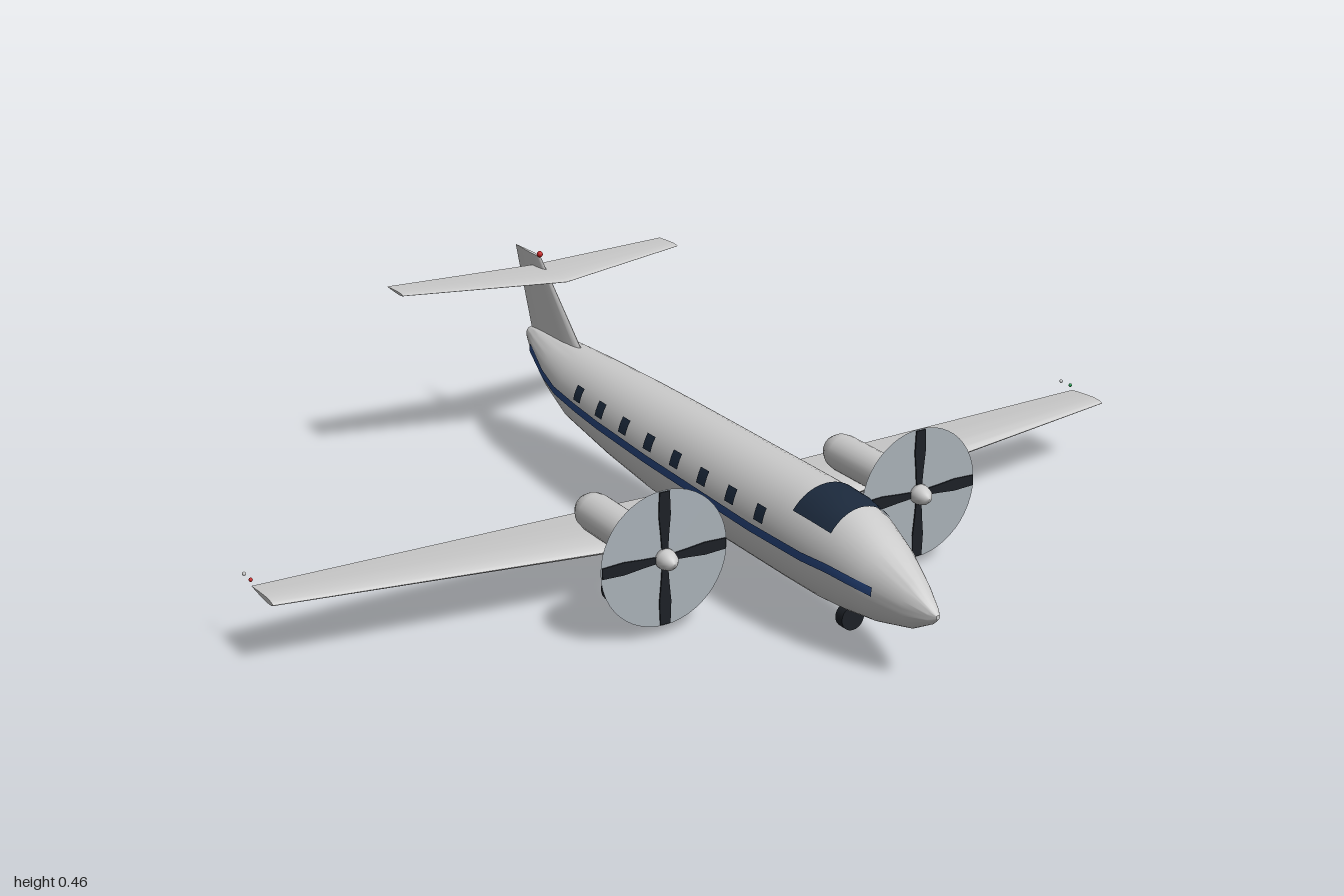
import * as THREE from 'three';
import { toCreasedNormals } from 'three/addons/utils/BufferGeometryUtils.js';

const mat = (color, side = THREE.FrontSide) => new THREE.MeshStandardMaterial({ color, side });
const GREY = mat(0xcccccc), DARK = mat(0x1c2026), DISC = mat(0xa9b1b8, THREE.DoubleSide);
const GLASS = mat(0x1c2a3d, THREE.DoubleSide), BLUE = mat(0x2a4a85, THREE.DoubleSide);
const RED = mat(0xc02020), GREEN = mat(0x20a050);

function add(parent, name, geometry, material, x = 0, y = 0, z = 0) {
  const mesh = new THREE.Mesh(geometry, material);
  mesh.name = name;
  mesh.position.set(x, y, z);
  parent.add(mesh);
  return mesh;
}

// Grid of points to surface; closed rings are joined around and capped at both ends
function surface(rows, closed) {
  const n = rows[0].length, idx = [];
  for (let i = 0; i < rows.length - 1; i++)
    for (let j = 0; j < (closed ? n : n - 1); j++) {
      const k = (j + 1) % n, a = i * n + j, b = i * n + k, c = b + n, d = a + n;
      idx.push(a, b, c, a, c, d);
    }
  if (closed) {
    const e = (rows.length - 1) * n;
    for (let j = 1; j < n - 1; j++) idx.push(0, j + 1, j, e, e + j, e + j + 1);
  }
  const g = new THREE.BufferGeometry();
  g.setAttribute('position', new THREE.Float32BufferAttribute(rows.flat(2), 3));
  g.setIndex(idx);
  g.computeVertexNormals();
  return closed ? toCreasedNormals(g, 0.6) : g;
}

// Fuselage stations, tail to nose: z, half width, top, bottom
const STATIONS = [
  [-0.735, 0.012, 0.265, 0.235], [-0.7, 0.025, 0.27, 0.212], [-0.66, 0.04, 0.273, 0.194],
  [-0.56, 0.066, 0.278, 0.153], [-0.465, 0.08, 0.281, 0.117], [-0.27, 0.094, 0.284, 0.092],
  [-0.1, 0.1, 0.285, 0.075], [0.05, 0.1, 0.286, 0.068], [0.4, 0.1, 0.286, 0.067],
  [0.5, 0.096, 0.283, 0.067], [0.57, 0.085, 0.273, 0.07], [0.65, 0.067, 0.24, 0.08],
  [0.735, 0.036, 0.198, 0.1], [0.785, 0.014, 0.165, 0.128], [0.8, 0.004, 0.152, 0.143],
];

// Oval cross-section at any z, grown by an offset
function section(z, o = 0) {
  let i = 0;
  while (i < STATIONS.length - 2 && z > STATIONS[i + 1][0]) i++;
  const a = STATIONS[i], b = STATIONS[i + 1], t = (z - a[0]) / (b[0] - a[0]);
  const [w, top, bot] = [1, 2, 3].map((k) => a[k] + (b[k] - a[k]) * t);
  return { w: w + o, h: (top - bot) / 2 + o, c: (top + bot) / 2 };
}

function arc(z, from, to, steps, o, closed) {
  const { w, h, c } = section(z, o);
  return Array.from({ length: closed ? steps : steps + 1 }, (_, j) => {
    const a = from + ((to - from) * j) / steps;
    return [w * Math.cos(a), c + h * Math.sin(a), z];
  });
}

// Patch hugging the fuselage side; samples are z, low y, high y
function sidePatch(side, samples) {
  return surface(samples.map(([z, lo, hi]) => {
    const { w, h, c } = section(z, 0.003);
    return [0, 1, 2, 3].map((j) => {
      const y = side > 0 ? lo + ((hi - lo) * j) / 3 : hi - ((hi - lo) * j) / 3;
      return [side * w * Math.sqrt(Math.max(0, 1 - ((y - c) / h) ** 2)), y, z];
    });
  }), false);
}

// Airfoil ring: fraction of chord from trailing edge, half thickness share
const FOIL = [[0, 0], [0.35, 0.6], [0.7, 1], [0.9, 0.75], [0.98, 0.35], [1, 0],
  [0.98, -0.35], [0.9, -0.75], [0.7, -1], [0.35, -0.6]];
const wingRing = (x, y, lead, trail, t) =>
  FOIL.map(([s, u]) => [x, y + (u * t) / 2, trail + (lead - trail) * s]);
const finRing = (y, lead, trail, t) =>
  FOIL.map(([s, u]) => [(-u * t) / 2, y, trail + (lead - trail) * s]);

// Turned part along z; points are radius, z
const turned = (pts) =>
  new THREE.LatheGeometry(pts.map(([r, z]) => new THREE.Vector2(r, z)), 24).rotateX(Math.PI / 2);

function propeller() {
  const g = new THREE.Group();
  g.name = 'propeller';
  add(g, 'propellerDisc', new THREE.CircleGeometry(0.14, 48), DISC);
  const outline = [[-0.006, 0.01], [0.006, 0.01], [0.009, 0.05], [0.013, 0.09], [0.011, 0.137],
    [-0.011, 0.137], [-0.013, 0.09], [-0.009, 0.05]].map(([x, y]) => new THREE.Vector2(x, y));
  const blade = new THREE.ExtrudeGeometry(new THREE.Shape(outline), { depth: 0.006, bevelEnabled: false });
  blade.translate(0, 0, -0.003);
  for (let i = 0; i < 4; i++) add(g, 'propellerBlade', blade, DARK).rotation.z = (i * Math.PI) / 2;
  add(g, 'spinner', turned([[0, -0.006], [0.021, -0.004], [0.021, 0.01], [0.017, 0.024], [0.009, 0.034], [0, 0.038]]), GREY);
  return g;
}

function wheel(parent, name, x, y, z, r, strutTop) {
  add(parent, name, new THREE.CylinderGeometry(r, r, 0.022, 24).rotateX(Math.PI / 2), DARK, x, y, z);
  add(parent, name + 'Strut', new THREE.CylinderGeometry(0.005, 0.005, strutTop - y, 10), GREY, x, (strutTop + y) / 2, z);
}

export function createModel() {
  const model = new THREE.Group();
  model.name = 'twinPropellerAircraft';

  // Body and windshield
  add(model, 'fuselage', surface(STATIONS.map(([z]) => arc(z, 0, Math.PI * 2, 40, 0, true)), true), GREY);
  const glassZ = [0.443, 0.47, 0.5, 0.53, 0.557];
  add(model, 'windshield', surface(glassZ.map((z) => arc(z, 0.7, Math.PI - 0.7, 16, 0.003, false)), false), GLASS);

  // Stripe and cabin windows on both sides
  const stripe = [[-0.67, 0.24], [-0.56, 0.217], [-0.487, 0.202], [-0.38, 0.197], [-0.27, 0.194], [-0.06, 0.188],
    [0.15, 0.183], [0.33, 0.179], [0.5, 0.179], [0.57, 0.178], [0.62, 0.172], [0.676, 0.164]];
  for (const side of [1, -1]) {
    add(model, 'stripe', sidePatch(side, stripe.map(([z, y]) => [z, y - 0.009, y + 0.009])), BLUE);
    for (let i = 0; i < 8; i++) {
      const z = 0.358 - i * 0.1042, y = 0.215 + i * 0.002;
      add(model, 'cabinWindow', sidePatch(side, [-0.0155, 0.0155].map((d) => [z + d, y - 0.0155, y + 0.0155])), GLASS);
    }
  }

  // Wing and T-tail
  add(model, 'wing', surface([
    wingRing(-0.995, 0.142, 0.098, -0.004, 0.011), wingRing(0, 0.11, 0.215, -0.043, 0.034),
    wingRing(0.995, 0.142, 0.098, -0.004, 0.011)], true), GREY);
  add(model, 'tailplane', surface([
    wingRing(-0.35, 0.418, -0.662, -0.742, 0.006), wingRing(0, 0.418, -0.56, -0.713, 0.01),
    wingRing(0.35, 0.418, -0.662, -0.742, 0.006)], true), GREY);
  add(model, 'fin', surface([finRing(0.25, -0.473, -0.724, 0.02), finRing(0.445, -0.68, -0.797, 0.008)], true), GREY);
  add(model, 'beacon', new THREE.SphereGeometry(0.007, 12, 8), RED, 0, 0.45, -0.683);

  // Engines, main gear and wing tip lights
  const nacelle = turned([[0, 0.033], [0.016, 0.036], [0.029, 0.045], [0.037, 0.06], [0.04, 0.08],
    [0.04, 0.27], [0.036, 0.295], [0.028, 0.318], [0.021, 0.335], [0, 0.336]]);
  const bulb = new THREE.SphereGeometry(0.004, 10, 8);
  for (const side of [1, -1]) {
    add(model, 'nacelle', nacelle, GREY, side * 0.3, 0.163, 0);
    const prop = propeller();
    prop.position.set(side * 0.3, 0.163, 0.34);
    model.add(prop);
    wheel(model, 'mainWheel', side * 0.3, 0.032, 0.162, 0.032, 0.14);
    add(model, 'tipLight', bulb, side > 0 ? GREEN : RED, side * 0.993, 0.152, -0.01);
    add(model, 'strobeLight', bulb, GREY, side * 0.993, 0.152, -0.042);
  }
  wheel(model, 'noseWheel', 0, 0.042, 0.528, 0.026, 0.1);
  return model;
}
